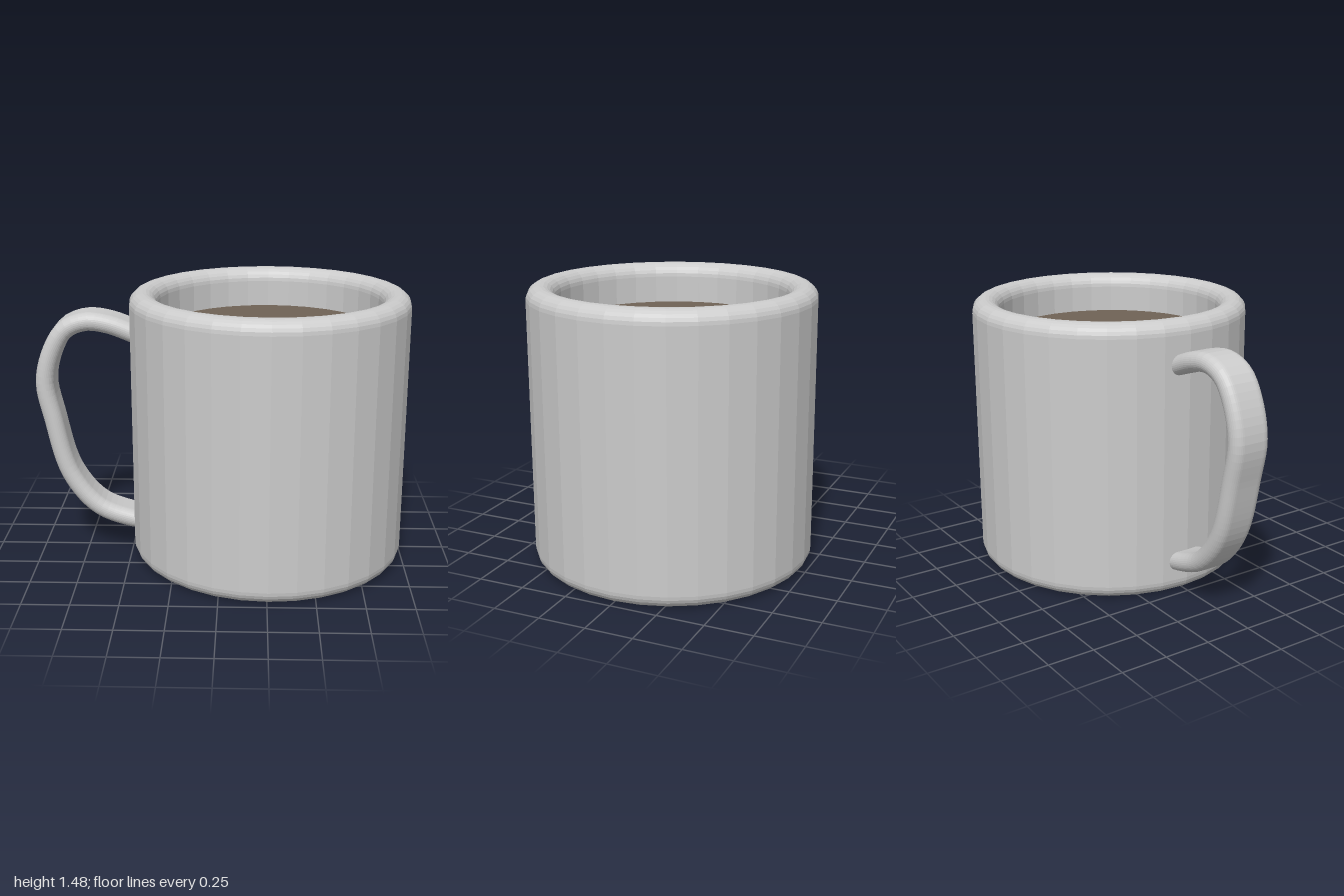
import * as THREE from 'three';

const SEGMENTS = 32;
const CENTRE_X = 0.255;

// Points of an arc in the profile plane, angles in degrees
function arc(cx, cy, r, from, to, steps) {
  return Array.from({ length: steps + 1 }, (_, i) => {
    const a = THREE.MathUtils.degToRad(from + (to - from) * i / steps);
    return new THREE.Vector2(cx + r * Math.cos(a), cy + r * Math.sin(a));
  });
}

export function createModel() {
  const group = new THREE.Group();
  const ceramic = new THREE.MeshStandardMaterial({ color: 0xcccccc, flatShading: true });

  const add = (name, geometry, material) => {
    const mesh = new THREE.Mesh(geometry, material);
    mesh.name = name;
    group.add(mesh);
    return mesh;
  };

  // Cup: rounded foot, straight wall, half-round rim, inner wall and floor
  const profile = [
    new THREE.Vector2(0, 0),
    ...arc(0.67, 0.075, 0.075, -90, 0, 6),
    ...arc(0.6725, 1.4025, 0.0725, 0, 180, 12),
    ...arc(0.53, 0.22, 0.07, 0, -90, 4),
    new THREE.Vector2(0, 0.15),
  ];
  add('cup', new THREE.LatheGeometry(profile, SEGMENTS), ceramic).position.x = CENTRE_X;

  // Coffee surface
  const coffee = add('coffee', new THREE.CircleGeometry(0.6, SEGMENTS),
    new THREE.MeshStandardMaterial({ color: 0x706356 }));
  coffee.rotation.x = -Math.PI / 2;
  coffee.position.set(CENTRE_X, 1.26, 0);

  // Handle: flat strap with rounded edges swept along a curve, ends sunk in the wall
  const path = new THREE.CatmullRomCurve3([
    [-0.42, 1.225], [-0.49, 1.255], [-0.6, 1.295], [-0.72, 1.309], [-0.83, 1.265],
    [-0.91, 1.14], [-0.95, 0.97], [-0.915, 0.77], [-0.83, 0.45],
    [-0.68, 0.26], [-0.49, 0.185], [-0.42, 0.175],
  ].map(([x, y]) => new THREE.Vector3(x, y, 0)));
  const halfWidth = 0.108, r = 0.05;
  const strap = new THREE.Shape();
  strap.absarc(halfWidth - r, 0, r, -Math.PI / 2, Math.PI / 2, false);
  strap.absarc(r - halfWidth, 0, r, Math.PI / 2, Math.PI * 1.5, false);
  add('handle', new THREE.ExtrudeGeometry(strap, {
    steps: 48, curveSegments: 8, bevelEnabled: false, extrudePath: path,
  }), ceramic);

  return group;
}
